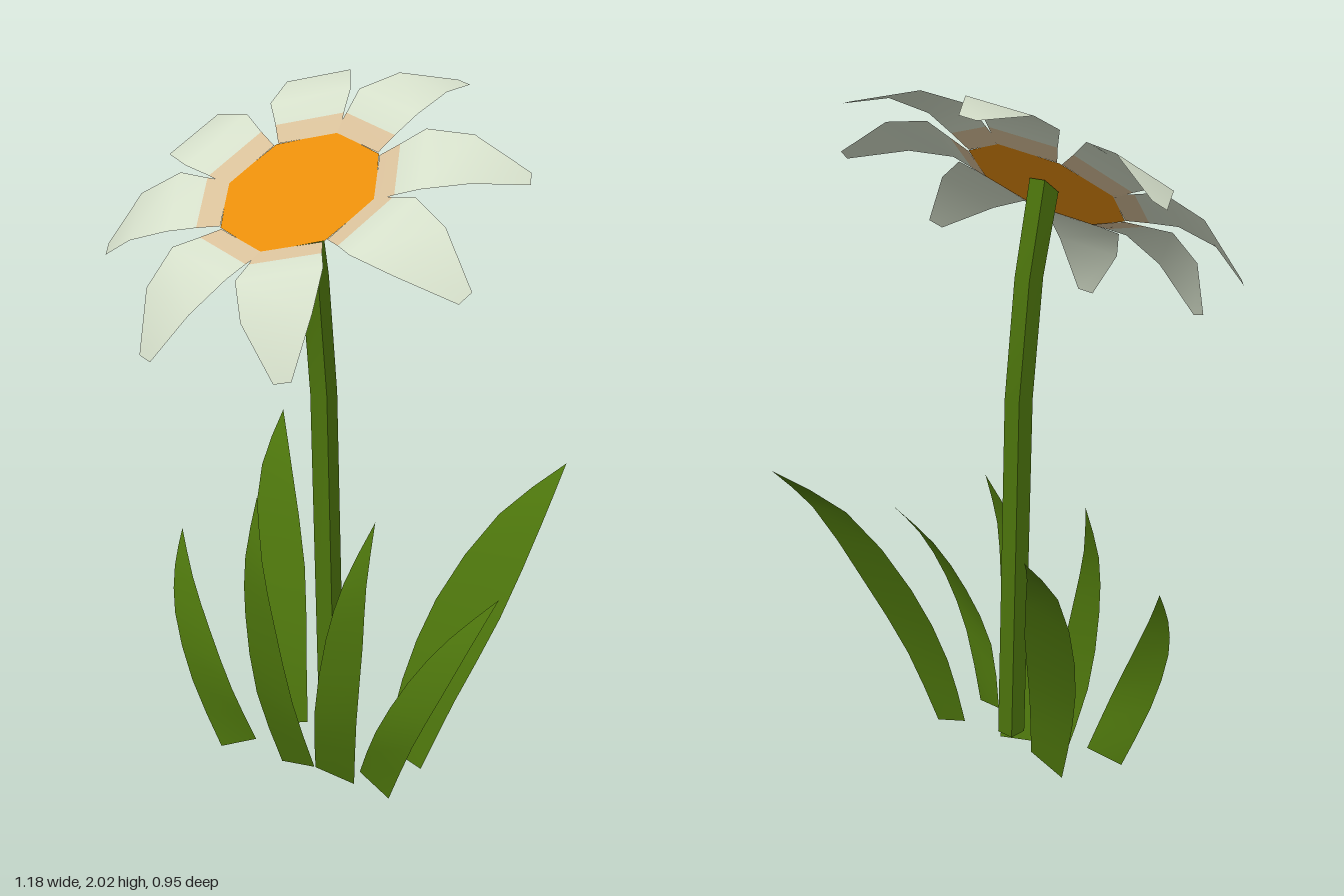
import * as THREE from 'three';

const mat = (name, color) => {
  const m = new THREE.MeshStandardMaterial({ color, side: THREE.DoubleSide });
  m.name = name;
  return m;
};

// Ribbon spanning two edges given as equal lists of points
function ribbon(edgeA, edgeB) {
  const pos = [], index = [];
  edgeA.forEach((a, i) => {
    pos.push(...a, ...edgeB[i]);
    if (i === 0) return;
    const p = (i - 1) * 2, q = i * 2;
    index.push(p, p + 1, q + 1, p, q + 1, q);
  });
  const g = new THREE.BufferGeometry();
  g.setAttribute('position', new THREE.Float32BufferAttribute(pos, 3));
  g.setIndex(index);
  g.computeVertexNormals();
  return g;
}

// Leaf blade: rows of [edge A xyz, edge B xyz], both edges curving to one tip
function blade(rows, tip) {
  const edge = (k) => new THREE.CatmullRomCurve3(
    [...rows.map((r) => r.slice(k, k + 3)), tip].map((v) => new THREE.Vector3(...v)),
  ).getPoints(8);
  return ribbon(edge(0), edge(3));
}

export function createModel() {
  const model = new THREE.Group();
  model.name = 'flower';
  const green = mat('leaf green', 0x4c740c);
  const orange = mat('centre orange', 0xe88e0a);
  const tan = mat('petal base tan', 0xd8c09a);
  const white = mat('petal white', 0xd4dec9);
  const add = (parent, geo, material, name) => {
    const m = new THREE.Mesh(geo, material);
    m.name = name;
    parent.add(m);
    return m;
  };

  // Stem: square rod bent forward towards the top
  const path = [[0.022, 0.115, -0.052], [-0.003, 1.16, -0.043], [-0.011, 1.5, -0.01], [-0.016, 1.75, 0.045]];
  const stem = new THREE.BoxGeometry(0.055, 3, 0.055, 1, 3, 1);
  const p = stem.attributes.position;
  for (let i = 0; i < p.count; i++) {
    const c = path[Math.round(p.getY(i) + 1.5)];
    // the top end follows the slope of the flower centre
    const y = c === path[3] ? c[1] - p.getZ(i) * 0.7 - 0.004 : c[1];
    p.setXYZ(i, p.getX(i) + c[0], y, p.getZ(i) + c[2]);
  }
  stem.computeVertexNormals();
  add(model, stem, green, 'stem');

  // Front and back leaves: blades on the left, mirrored about their own plane
  const pairs = [
    ['frontLeaf', 0.033, [
      [0.035, 0.03, 0.06, 0.16, 0.005, 0.045], [0.07, 0.25, 0.12, 0.205, 0.25, 0.11],
      [0.12, 0.5, 0.14, 0.232, 0.5, 0.125], [0.17, 0.68, 0.125, 0.236, 0.68, 0.115]],
    [0.23, 0.85, 0.06]],
    ['backLeaf', 0.062, [
      [0.2, 0.09, -0.07, 0.32, 0.05, -0.068], [0.23, 0.3, -0.11, 0.4, 0.27, -0.115],
      [0.29, 0.54, -0.195, 0.49, 0.52, -0.21], [0.42, 0.79, -0.325, 0.547, 0.78, -0.345]],
    [0.555, 0.925, -0.48]],
  ];
  for (const [name, plane, rows, tip] of pairs) {
    const mirror = (list) => list.map((v, i) => (i % 3 === 0 ? 2 * plane - v : v));
    add(model, blade(rows, tip), green, name + 'Left');
    add(model, blade(rows.map(mirror), mirror(tip)), green, name + 'Right');
  }

  // Side leaves, which spread differently
  add(model, blade([
    [0.2, 0.075, 0.08, 0.32, 0.045, 0.12], [0.28, 0.25, 0.13, 0.41, 0.25, 0.15],
    [0.37, 0.42, 0.11, 0.49, 0.42, 0.14], [0.47, 0.56, 0.07, 0.55, 0.57, 0.085],
  ], [0.585, 0.68, 0]), green, 'sideLeafLeft');
  add(model, blade([
    [-0.165, 0.075, 0.08, -0.265, 0.04, 0.12], [-0.215, 0.25, 0.13, -0.35, 0.25, 0.145],
    [-0.3, 0.42, 0.12, -0.42, 0.45, 0.13], [-0.38, 0.56, 0.09, -0.45, 0.58, 0.085],
  ], [-0.46, 0.68, 0.03]), green, 'sideLeafRight');

  // Flower head, tilted to the front
  const head = new THREE.Group();
  head.name = 'flowerHead';
  head.position.set(-0.018, 1.742, 0.055);
  head.rotation.x = THREE.MathUtils.degToRad(35);
  model.add(head);
  add(head, new THREE.CircleGeometry(0.232, 8).rotateX(-Math.PI / 2), orange, 'flowerCentre');

  // Eight petals: distance out, height, half width; the innermost strip is tan
  const section = [[0.214, 0, 0.089], [0.275, 0.017, 0.1], [0.35, 0.037, 0.118], [0.475, 0.008, 0.095], [0.605, -0.09, 0.024]];
  const petalGeo = ribbon(section.map(([r, h, w]) => [-w, h, r]), section.map(([r, h, w]) => [w, h, r]));
  petalGeo.addGroup(0, 6, 0);
  petalGeo.addGroup(6, 18, 1);
  for (let k = 0; k < 8; k++) {
    // each petal leans slightly towards the nearest axis
    const lean = k % 2 ? 0.03 : -0.03;
    add(head, petalGeo, [tan, white], 'petal').rotation.y = Math.PI / 8 + (k * Math.PI) / 4 + lean;
  }
  return model;
}
